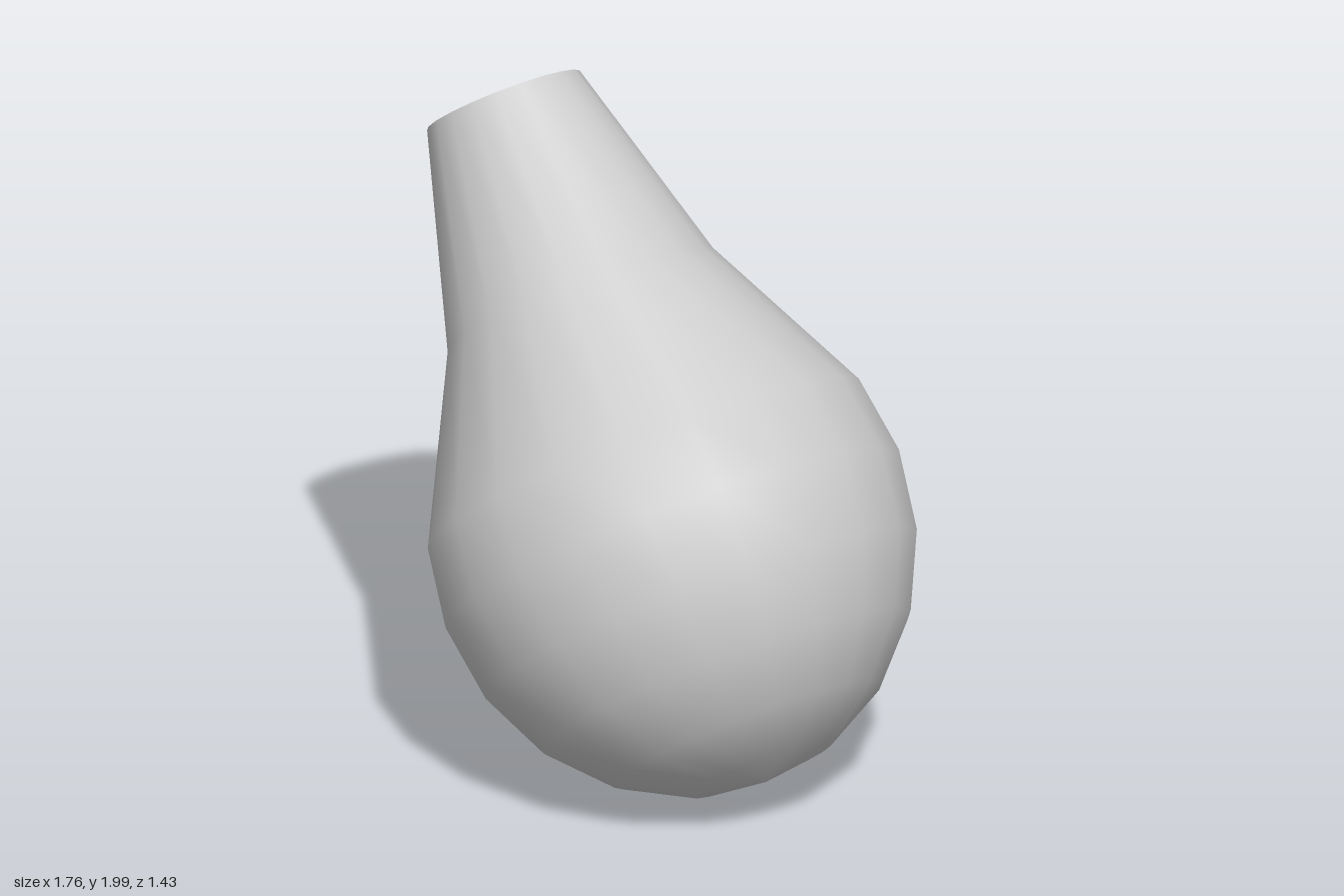
import * as THREE from 'three';

export function createModel() {
  const group = new THREE.Group();
  const material = new THREE.MeshStandardMaterial({ color: 0xcccccc, side: THREE.DoubleSide });

  // Slightly elongated round bowl, from the pole to just above the equator
  const profile = [];
  for (let i = 0; i <= 6; i++) {
    const a = (i * Math.PI) / 10;
    profile.push(new THREE.Vector2(0.713 * Math.sin(a), 0.015 - 0.768 * Math.cos(a)));
  }
  // Shoulder and open mouth of the tapering neck
  profile.push(new THREE.Vector2(0.417, 0.77), new THREE.Vector2(0.24, 1.399));

  // The whole vessel leans towards its right
  const flask = new THREE.Mesh(new THREE.LatheGeometry(profile, 20), material);
  flask.name = 'openNeckedBulb';
  flask.position.set(0.16, 0.742, 0);
  flask.rotation.z = 0.652;
  group.add(flask);

  return group;
}
